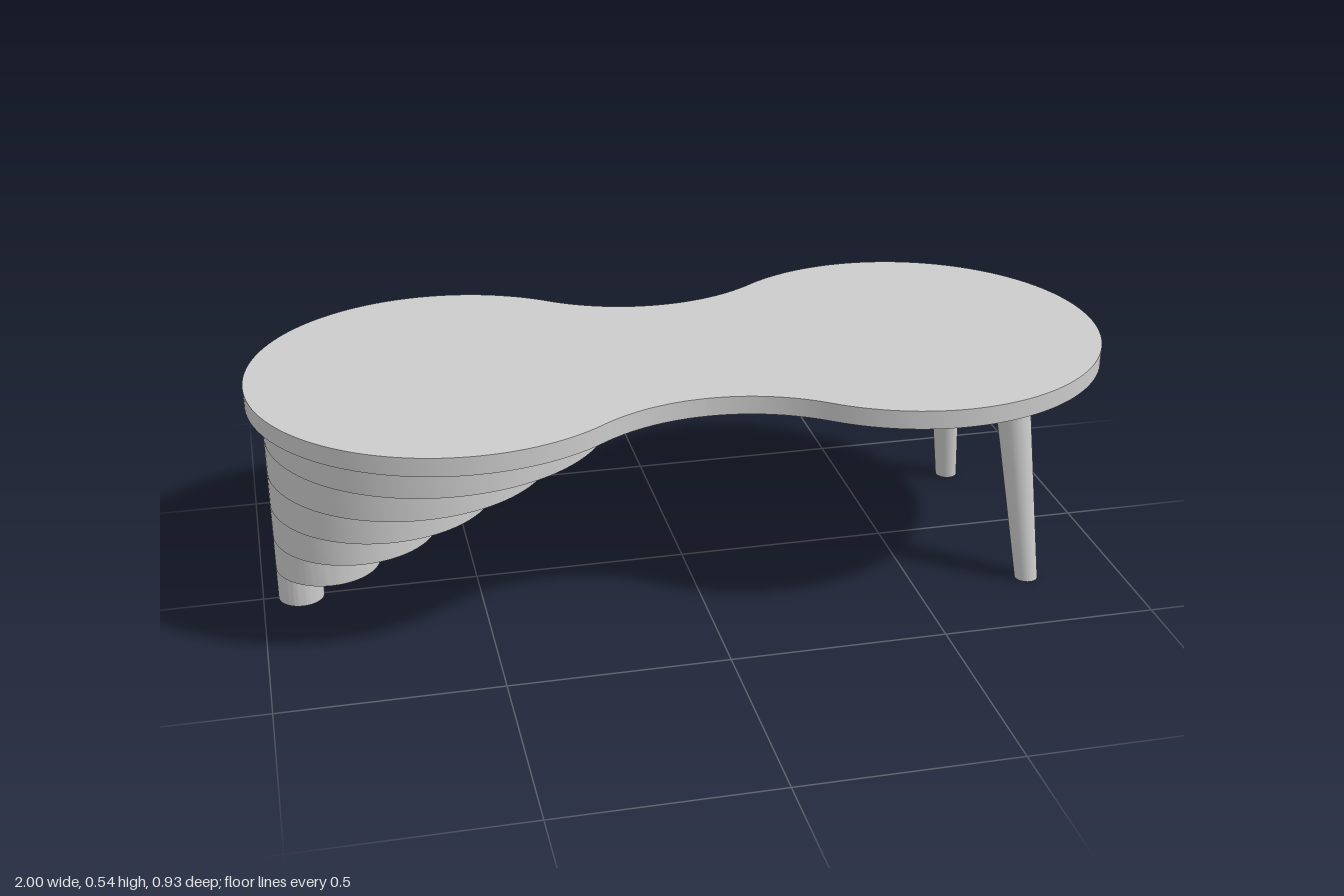
import * as THREE from 'three';
import { toCreasedNormals } from 'three/addons/utils/BufferGeometryUtils.js';

const material = new THREE.MeshStandardMaterial({ color: 0xcccccc });
const UNDERSIDE = 0.497;
const TOP = 0.54;

// Upright slab: a plan outline extruded from y0 to y1
function slab(name, shape, y0, y1) {
  const extruded = new THREE.ExtrudeGeometry(shape, { depth: y1 - y0, bevelEnabled: false, curveSegments: 48 });
  extruded.rotateX(-Math.PI / 2).translate(0, y0, 0);
  const mesh = new THREE.Mesh(toCreasedNormals(extruded, 0.6), material);
  mesh.name = name;
  return mesh;
}

// Two round lobes joined by tangent concave arcs
function tabletopShape() {
  const lobeX = 0.535, lobeR = 0.465, waist = 0.285;
  const arcR = (lobeX ** 2 + waist ** 2 - lobeR ** 2) / (2 * (lobeR - waist));
  const arcZ = waist + arcR;
  const a = Math.atan2(arcZ, lobeX);
  const shape = new THREE.Shape();
  shape.absarc(lobeX, 0, lobeR, a - Math.PI, Math.PI - a, false);
  shape.absarc(0, arcZ, arcR, -a, a - Math.PI, true);
  shape.absarc(-lobeX, 0, lobeR, a, 2 * Math.PI - a, false);
  shape.absarc(0, -arcZ, arcR, Math.PI - a, a, true);
  return shape;
}

// Stepped rings, all sharing one tangent line at the outer end
function steppedBase() {
  const group = new THREE.Group();
  group.name = 'steppedBase';
  const edgeX = -0.965, count = 6, height = UNDERSIDE / count;
  const step = 0.068, smallest = 0.053;
  for (let i = 0; i < count; i++) {
    const r = smallest + step * i;
    const shape = new THREE.Shape().absarc(0, 0, r, 0, Math.PI * 2, false);
    // The lowest tier is a solid foot, the others are open rings
    if (i > 0) shape.holes.push(new THREE.Path().absarc(0, 0, r - step, 0, Math.PI * 2, true));
    const tier = slab(i === 0 ? 'foot' : 'ring' + i, shape, i * height, (i + 1) * height);
    tier.position.x = edgeX + r;
    group.add(tier);
  }
  return group;
}

// Tapered leg, sheared outward so both ends stay level
function leg(name, side) {
  const geometry = new THREE.CylinderGeometry(0.043, 0.027, UNDERSIDE, 32);
  geometry.translate(0, UNDERSIDE / 2, 0);
  const leanX = (0.723 - 0.775) / UNDERSIDE;
  const leanZ = side * (0.229 - 0.286) / UNDERSIDE;
  geometry.applyMatrix4(new THREE.Matrix4().set(
    1, leanX, 0, 0.775,
    0, 1, 0, 0,
    0, leanZ, 1, side * 0.286,
    0, 0, 0, 1));
  const mesh = new THREE.Mesh(geometry, material);
  mesh.name = name;
  return mesh;
}

export function createModel() {
  const model = new THREE.Group();
  model.name = 'coffeeTable';
  model.add(
    slab('tabletop', tabletopShape(), UNDERSIDE, TOP),
    steppedBase(),
    leg('frontLeg', 1),
    leg('backLeg', -1));
  return model;
}
